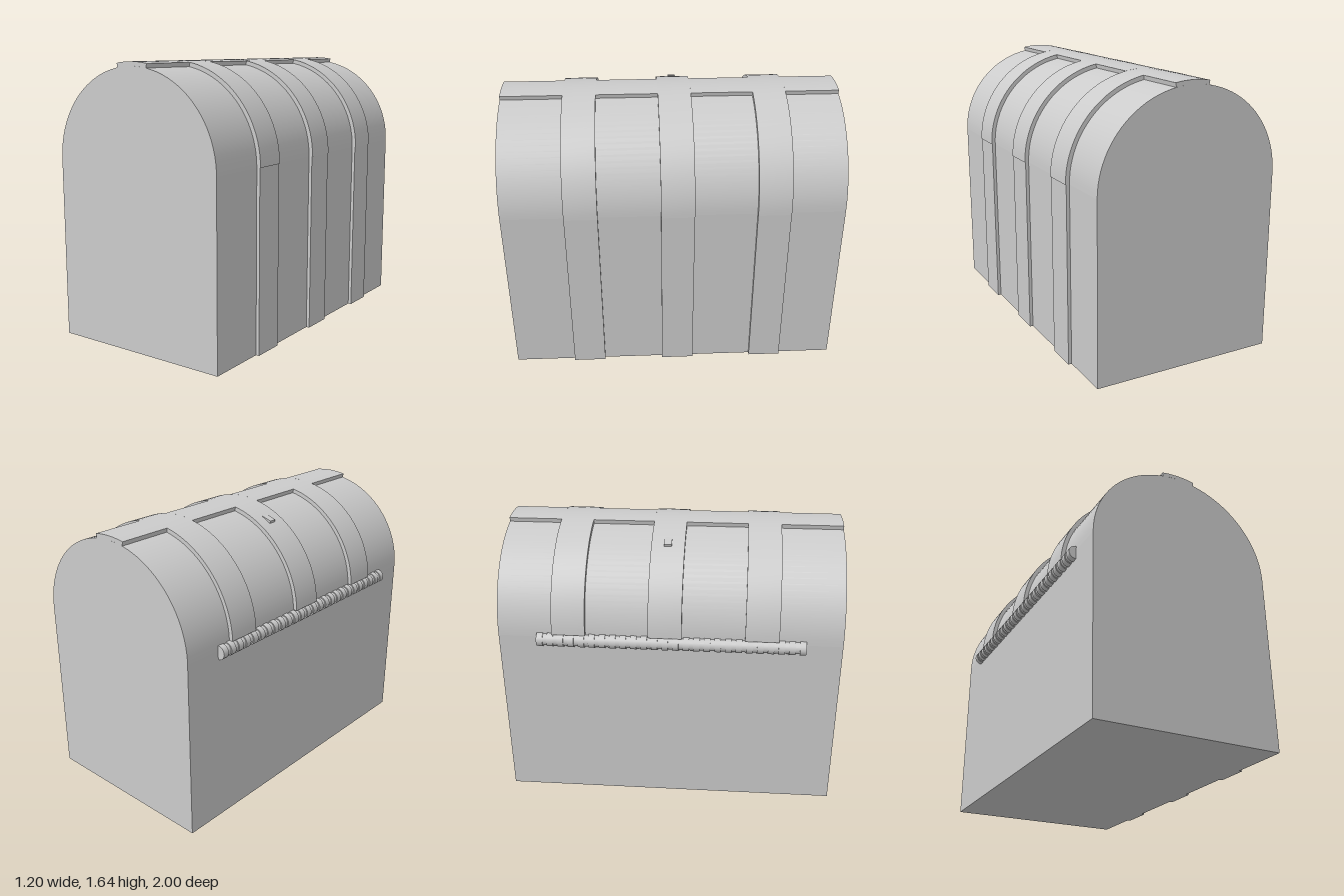
import * as THREE from 'three';
import { toCreasedNormals } from 'three/addons/utils/BufferGeometryUtils.js';

const CX = 0.006, SEAM = 1.075;      // lid axis
const INNER = [0.566, 0.545];        // lid panel radii
const OUTER = [0.59, 0.57];          // raised strap radii
const BANDS = [[-0.68, -0.485], [-0.12, 0.075], [0.44, 0.635]];

export function createModel() {
  const group = new THREE.Group();
  const mat = new THREE.MeshStandardMaterial({ color: 0xcccccc });

  const add = (name, geo, x = 0, y = 0, z = 0) => {
    const mesh = new THREE.Mesh(geo, mat);
    mesh.name = name;
    mesh.position.set(x, y, z);
    group.add(mesh);
    return mesh;
  };

  const arc = ([rx, ry], from, to, n = 48) =>
    Array.from({ length: n + 1 }, (_, i) => {
      const a = from + (to - from) * i / n;
      return new THREE.Vector2(CX + rx * Math.cos(a), SEAM + ry * Math.sin(a));
    });

  // Extrude a cross-section along z with smooth curved faces
  const sweep = (name, points, z0, z1) => {
    const geo = new THREE.ExtrudeGeometry(new THREE.Shape(points), { depth: z1 - z0, bevelEnabled: false });
    add(name, toCreasedNormals(geo, 0.4), 0, 0, z0);
  };
  const strap = (name, from, to, z0, z1, n) =>
    sweep(name, [...arc(OUTER, from, to, n), ...arc(INNER, to, from, n)], z0, z1);

  // Chest box and domed lid
  add('body', new THREE.BoxGeometry(INNER[0] * 2, SEAM, 2), CX, SEAM / 2, 0);
  sweep('lid', arc(INNER, 0, Math.PI), -1, 1);

  // Straps over the lid, continuing down one side of the body
  BANDS.forEach(([z0, z1]) => {
    strap('lidBand', 0, Math.PI - 0.045, z0, z1);
    add('bodyBand', new THREE.BoxGeometry(0.022, SEAM, z1 - z0), CX + 0.575, SEAM / 2, (z0 + z1) / 2);
  });

  // Ridge along the crown, between the straps
  const half = Math.asin(0.108 / OUTER[0]);
  const edges = [-1, ...BANDS.flat(), 1];
  for (let i = 0; i < edges.length; i += 2) {
    strap('crownRidge', Math.PI / 2 - half, Math.PI / 2 + half, edges[i], edges[i + 1], 10);
  }

  // Ribbed hinge: a pin with evenly spaced knuckles
  const hingeX = -0.563, hingeY = 1.06, z0 = -0.77, z1 = 0.79, count = 26;
  const rod = (r, length) => new THREE.CylinderGeometry(r, r, length, 20).rotateX(Math.PI / 2);
  add('hingePin', rod(0.035, z1 - z0 - 0.004), hingeX, hingeY, (z0 + z1) / 2);
  const pitch = (z1 - z0) / (count - 0.4);
  const knuckle = rod(0.041, pitch * 0.6);
  for (let i = 0; i < count; i++) {
    add('hingeKnuckle', knuckle, hingeX, hingeY, z0 + pitch * (i + 0.3));
  }

  // Small block set into the middle strap
  const block = add('lidBlock', new THREE.BoxGeometry(0.066, 0.035, 0.044), -0.275, 1.566, -0.023);
  block.rotation.z = 0.3;

  return group;
}
